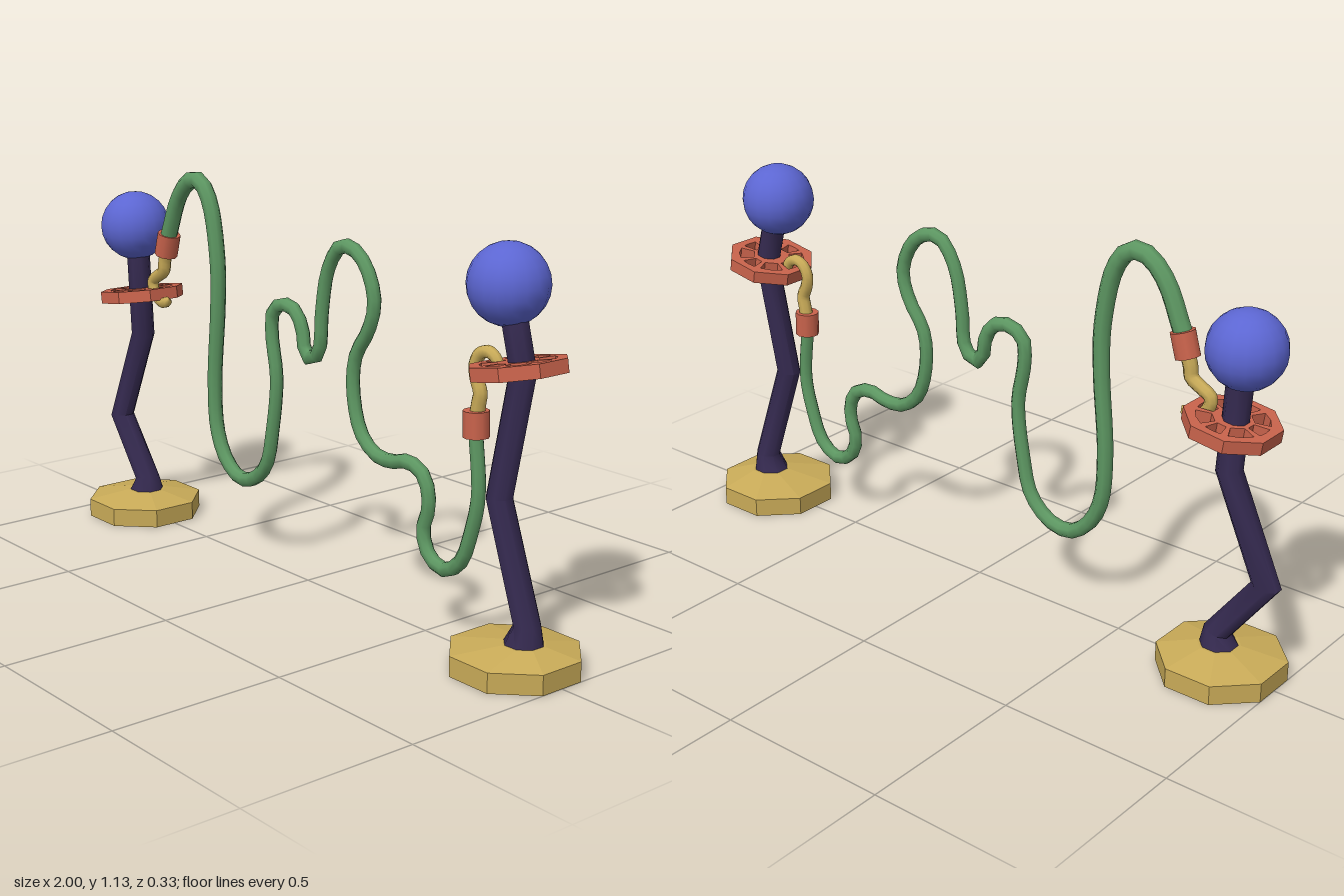
import * as THREE from 'three';
import { toCreasedNormals } from 'three/addons/utils/BufferGeometryUtils.js';

const mat = (name, color) => {
  const m = new THREE.MeshStandardMaterial({ color });
  m.name = name;
  return m;
};

// Tube along a path in the xy plane, with mitred bends. Each point is [x, y, radius].
function sweep(points, sides, z = 0) {
  const pos = [], index = [], n = points.length;
  const dir = (a, b) => new THREE.Vector2(b[0] - a[0], b[1] - a[1]).normalize();
  points.forEach((p, i) => {
    const before = dir(points[Math.max(i - 1, 0)], points[Math.max(i, 1)]);
    const after = dir(points[Math.min(i, n - 2)], points[Math.min(i + 1, n - 1)]);
    const t = before.clone().add(after).normalize();
    const mitre = 1 / Math.max(t.dot(after), 0.7);
    for (let j = 0; j < sides; j++) {
      const a = ((j + 0.5) / sides) * Math.PI * 2;
      const u = Math.cos(a) * p[2] * mitre;
      pos.push(p[0] - t.y * u, p[1] + t.x * u, z + Math.sin(a) * p[2]);
    }
  });
  for (let i = 0; i < n - 1; i++) {
    for (let j = 0; j < sides; j++) {
      const k = (j + 1) % sides;
      const a = i * sides + j, b = i * sides + k;
      index.push(a, b, a + sides, b, b + sides, a + sides);
    }
  }
  const g = new THREE.BufferGeometry();
  g.setAttribute('position', new THREE.Float32BufferAttribute(pos, 3));
  g.setIndex(index);
  g.computeVertexNormals();
  return g;
}

// Smooth curve through [x, y] points given in hundredths, as a list of [x, y, radius]
function smoothPath(points, count, radius) {
  const curve = new THREE.CatmullRomCurve3(points.map(([x, y]) => new THREE.Vector3(x / 100, y / 100, 0)));
  return curve.getSpacedPoints(count).map((p, i) => [p.x, p.y, radius(i / count)]);
}

// Octagonal foot, its low peak shifted to meet the pole
function footGeometry(shift) {
  const r = 0.165 / Math.cos(Math.PI / 8);
  const profile = [[0, 0], [r, 0], [r, 0.055], [0.06, 0.08], [0, 0.08]].map(p => new THREE.Vector2(...p));
  const g = new THREE.LatheGeometry(profile, 8, Math.PI / 8).toNonIndexed();
  const p = g.attributes.position;
  for (let i = 0; i < p.count; i++) if (p.getY(i) > 0.07) p.setX(i, p.getX(i) + shift);
  g.computeVertexNormals();
  return g;
}

// Octagonal plate with alternating small and large rope holes
function plateGeometry() {
  const polar = (r, a) => new THREE.Vector2(r * Math.cos(a), r * Math.sin(a));
  const corners = [];
  for (let i = 0; i < 8; i++) corners.push(polar(0.12 / Math.cos(Math.PI / 8), (i + 0.5) * Math.PI / 4));
  const shape = new THREE.Shape(corners);
  for (let i = 0; i < 8; i++) {
    const a = i * Math.PI / 4, half = i % 2 ? 0.35 : 0.24;
    shape.holes.push(new THREE.Path([
      polar(0.055, a - half), polar(0.097, a - half), polar(0.097, a), polar(0.097, a + half), polar(0.055, a + half),
    ]));
  }
  const g = new THREE.ExtrudeGeometry(shape, { depth: 0.036, bevelEnabled: false });
  return g.translate(0, 0, -0.018).rotateX(-Math.PI / 2);
}

export function createModel() {
  const gold = mat('gold', 0xc9ab58);
  const purple = mat('darkPurple', 0x352a50);
  const blue = mat('blue', 0x5c66d2);
  const coral = mat('coral', 0xc9634c);
  const green = mat('green', 0x5d9762);

  const model = new THREE.Group();
  model.name = 'ropeBarrier';
  const add = (parent, name, geometry, material, x = 0, y = 0, z = 0, tilt = 0) => {
    const m = new THREE.Mesh(geometry, material);
    m.name = name;
    m.position.set(x, y, z);
    m.rotation.z = tilt;
    parent.add(m);
  };

  // Two bent posts, each with foot, pole, plate, ball, hook and ferrule
  const posts = [
    {
      name: 'rightPost', footX: -0.835, shift: 0.01,
      pole: [[-0.825, 0.07, 0.056], [-0.82, 0.12, 0.037], [-0.955, 0.3, 0.036], [-0.825, 0.59, 0.036], [-0.84, 0.82, 0.036], [-0.853, 0.93, 0.036]],
      ball: [-0.855, 0.93], plate: [-0.825, 0.718, 0.14],
      hook: [[-68, 87], [-69, 84], [-69.5, 81], [-72.5, 79], [-75.5, 77], [-75, 74], [-72.5, 71.3], [-69.5, 70.8], [-67, 72.5]],
      ferrule: [-0.67, 0.895, -0.28],
    },
    {
      name: 'leftPost', footX: 0.835, shift: 0.03,
      pole: [[0.865, 0.07, 0.056], [0.875, 0.13, 0.037], [0.765, 0.44, 0.036], [0.835, 0.78, 0.036], [0.805, 0.89, 0.036], [0.777, 0.99, 0.036]],
      ball: [0.777, 0.99], plate: [0.82, 0.786, 0.18],
      hook: [[68.3, 64], [68.8, 67], [69.3, 70], [67.8, 73.5], [67.3, 77], [69, 80], [72, 81], [74.8, 79.5], [76, 76.5]],
      ferrule: [0.683, 0.617, 0.03],
    },
  ];
  for (const p of posts) {
    const post = new THREE.Group();
    post.name = p.name;
    model.add(post);
    add(post, 'foot', footGeometry(p.shift), gold, p.footX);
    add(post, 'pole', toCreasedNormals(sweep(p.pole, 8), 0.9), purple);
    add(post, 'ball', new THREE.SphereGeometry(0.106, 18, 12), blue, ...p.ball);
    add(post, 'ropePlate', plateGeometry(), coral, p.plate[0], p.plate[1], 0, p.plate[2]);

    // Hook narrows to a closed tip
    const hook = smoothPath(p.hook, 22, t => (t > 0.99 ? 0.001 : 0.021 - 0.006 * t));
    add(post, 'hook', sweep(hook, 8, 0.005), gold);
    const ferrule = new THREE.CylinderGeometry(0.035, 0.035, 0.07, 10);
    add(post, 'ferrule', ferrule, coral, p.ferrule[0], p.ferrule[1], 0.007, p.ferrule[2]);
  }

  // Looping rope between the two ferrules
  const ropePoints = [
    [-66, 92], [-60, 105], [-54, 110.5], [-49, 110.5], [-44.5, 105], [-41, 88.5], [-41, 75], [-43, 51], [-42, 36.5],
    [-38, 28.5], [-31.5, 24], [-24.5, 25], [-18, 31], [-15, 42], [-13, 58], [-15, 70], [-14.6, 77], [-10.3, 80],
    [-4.4, 79], [-1.2, 74], [0, 68], [3, 66.5], [6.3, 70], [7.3, 80.5], [10, 93], [15.3, 100], [21, 99.7],
    [26, 95.5], [29.2, 87], [27, 79], [21.8, 71], [20.7, 62], [24, 50], [30.3, 45], [36.7, 44.5], [43.7, 46],
    [49.6, 43.4], [51.7, 36], [49.6, 28.4], [52.2, 22], [58, 19.8], [64, 23.6], [67.8, 33], [70, 43], [68.5, 60],
  ];
  add(model, 'rope', sweep(smoothPath(ropePoints, 110, t => 0.026 - 0.006 * Math.min(1, t * 2.5)), 8, 0.01), green);
  return model;
}
